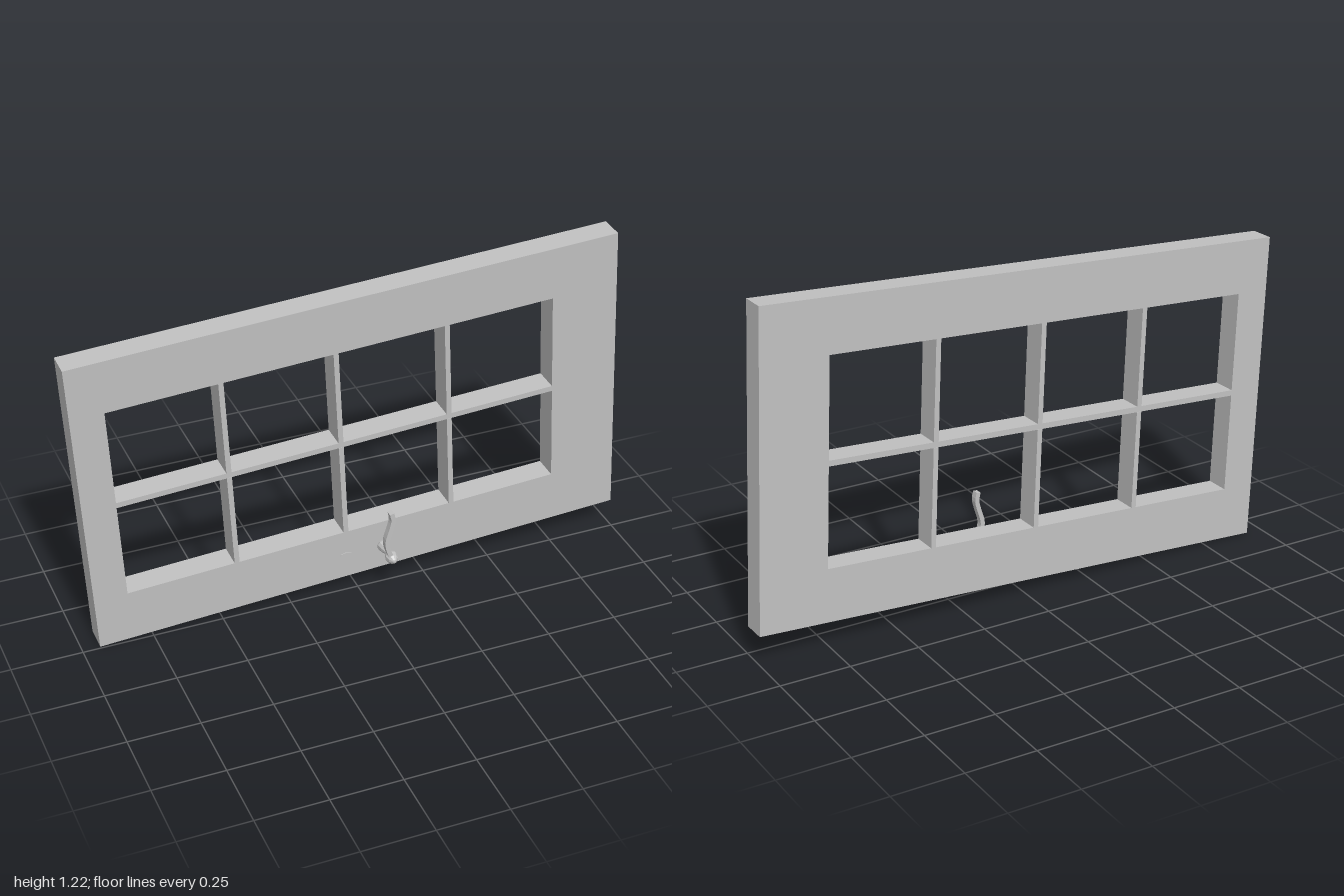
import * as THREE from 'three';

export function createModel() {
  const model = new THREE.Group();
  model.name = 'windowWithLatch';
  const grey = new THREE.MeshStandardMaterial({ color: 0xc0c0c0 });
  grey.name = 'grey';
  grey.flatShading = true;

  const add = (parent, name, geometry, x = 0, y = 0, z = 0) => {
    const mesh = new THREE.Mesh(geometry, grey);
    mesh.name = name;
    mesh.position.set(x, y, z);
    parent.add(mesh);
    return mesh;
  };

  // Sash, slightly tilted
  const depth = 0.09, halfW = 0.969, halfH = 0.556;
  const left = -0.852, right = 0.727, holeH = 0.365, bar = 0.01;
  const sash = new THREE.Group();
  sash.name = 'sash';
  sash.position.set(0, 0.605, -0.043);
  sash.rotation.set(0.0215, 0.0035, 0.0535);
  model.add(sash);

  // Outer frame with one off-centre opening
  const rect = (T, x0, x1, h) => new T([[x0, -h], [x1, -h], [x1, h], [x0, h]]
    .map(([x, y]) => new THREE.Vector2(x, y)));
  const outline = rect(THREE.Shape, -halfW, halfW, halfH);
  outline.holes.push(rect(THREE.Path, left, right, holeH));
  add(sash, 'frame', new THREE.ExtrudeGeometry(outline, { depth, bevelEnabled: false }), 0, 0, -depth / 2);

  // Glazing bars
  add(sash, 'crossBar', new THREE.BoxGeometry(right - left, bar * 2, depth), (left + right) / 2, 0.001, 0);
  const length = holeH - bar;
  for (const x of [-0.461, -0.061, 0.337]) {
    for (const side of [-1, 1]) {
      add(sash, 'uprightBar', new THREE.BoxGeometry(0.018, length, depth), x, side * (bar + length / 2), 0);
    }
  }

  // Small oval plate beside the latch
  const oval = add(sash, 'ovalPlate', new THREE.CylinderGeometry(0.022, 0.022, 0.006, 12), -0.065, -0.462, depth / 2);
  oval.rotation.x = Math.PI / 2;
  oval.scale.z = 0.4;

  // Latch: turned spindle ending in a knob
  const latch = new THREE.Group();
  latch.name = 'latch';
  latch.position.set(0.097, 0.145, 0);
  model.add(latch);
  const profile = [[0, -0.02], [0.018, -0.02], [0.022, 0], [0.018, 0.018], [0.009, 0.045],
    [0.018, 0.056], [0.023, 0.072], [0.018, 0.09], [0.007, 0.103], [0, 0.105]]
    .map(([r, y]) => new THREE.Vector2(r, y));
  add(latch, 'spindle', new THREE.LatheGeometry(profile, 10)).rotation.x = Math.PI / 2;

  // Wavy lever: a ribbon offset to both sides of a curve
  const curve = new THREE.SplineCurve([[-0.002, 0], [-0.018, 0.045], [-0.021, 0.08],
    [-0.008, 0.125], [0, 0.16], [-0.006, 0.19]].map(([x, y]) => new THREE.Vector2(x, y)));
  const edge = (offset) => Array.from({ length: 15 }, (_, i) => {
    const p = curve.getPoint(i / 14), t = curve.getTangent(i / 14);
    return new THREE.Vector2(p.x + t.y * offset, p.y - t.x * offset);
  });
  const ribbon = new THREE.Shape([...edge(0.008), ...edge(-0.008).reverse()]);
  add(latch, 'lever', new THREE.ExtrudeGeometry(ribbon, { depth: 0.024, bevelEnabled: false }), 0, 0, 0.064);

  return model;
}
